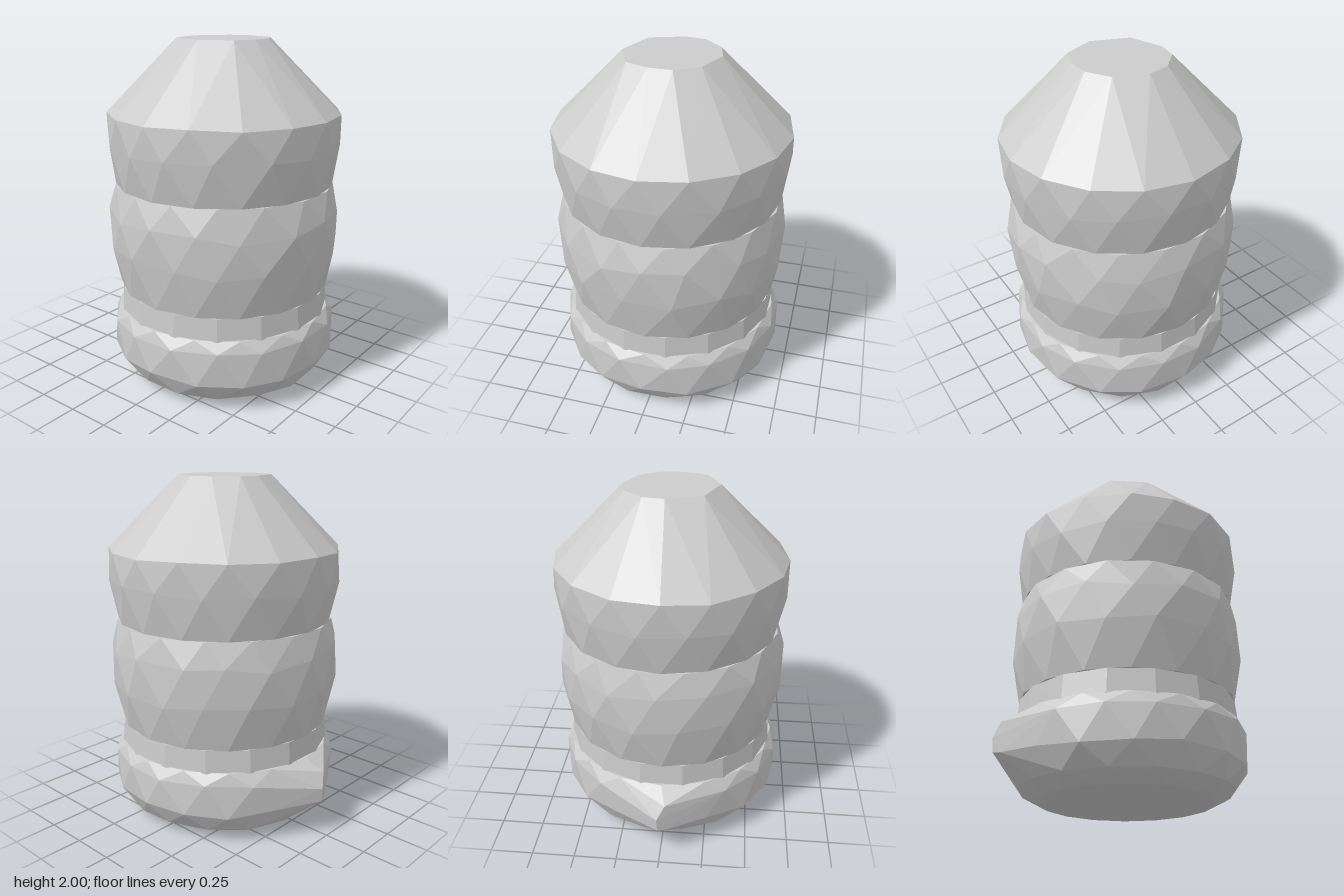
import * as THREE from 'three';
import { ConvexGeometry } from 'three/addons/geometries/ConvexGeometry.js';

const AXIS_X = 0.055; // the round body sits a little off centre, balancing the spout
const SIDES = 16;

// Small seeded generator for the hewn, irregular facets
let seed = 7;
const jitter = (amount) => {
  seed = (seed * 16807) % 2147483647;
  return (seed / 2147483647 - 0.5) * 2 * amount;
};

// Ring of points round the body axis; turn is a fraction of one side
function ring(y, radius, turn = 0, wobble = 0) {
  const points = [];
  for (let i = 0; i < SIDES; i++) {
    const a = ((i + turn) / SIDES) * Math.PI * 2 + jitter(wobble * 2);
    const r = radius + jitter(wobble * 0.15);
    points.push(new THREE.Vector3(AXIS_X + r * Math.cos(a), y + jitter(wobble), r * Math.sin(a)));
  }
  return points;
}

export function createModel() {
  const group = new THREE.Group();
  const material = new THREE.MeshStandardMaterial({ color: 0xcccccc, flatShading: true });
  const addHull = (name, points) => {
    const mesh = new THREE.Mesh(new ConvexGeometry(points), material);
    mesh.name = name;
    group.add(mesh);
  };

  // Rounded foot with a pointed spout on the right side
  const spout = [[-0.69, 0.37, 0.03], [-0.72, 0.29, -0.015], [-0.715, 0.21, -0.01], [-0.69, 0.2, 0.04]];
  addHull('base', [
    ...ring(0, 0.49),
    ...ring(0.06, 0.6, 0.5, 0.008),
    ...ring(0.18, 0.673, 0, 0.015),
    ...ring(0.365, 0.673, 0.5, 0.01),
    ...ring(0.432, 0.638),
    ...spout.map((p) => new THREE.Vector3(...p)),
  ]);

  // Narrow collar above the foot
  addHull('collar', [...ring(0.425, 0.633, 0.5), ...ring(0.56, 0.622, 0.5)]);

  // Bulging middle band
  addHull('waist', [
    ...ring(0.56, 0.625),
    ...ring(0.82, 0.677, 0.5, 0.03),
    ...ring(1.02, 0.677, 0, 0.03),
    ...ring(1.18, 0.64, 0.5),
  ]);

  // Upper band with the sloping shoulder and flat, uneven top
  const top = [
    [-0.21, -0.01], [-0.19, -0.13], [-0.08, -0.24], [0.05, -0.27], [0.23, -0.2],
    [0.31, -0.07], [0.31, 0.06], [0.26, 0.19], [0.08, 0.27], [-0.14, 0.19],
  ];
  addHull('shoulder', [
    ...ring(1.18, 0.637),
    ...ring(1.41, 0.677, 0.5, 0.015),
    ...ring(1.59, 0.675, 0, 0.006),
    ...top.map(([x, z]) => new THREE.Vector3(x, 2, z)),
  ]);

  return group;
}
